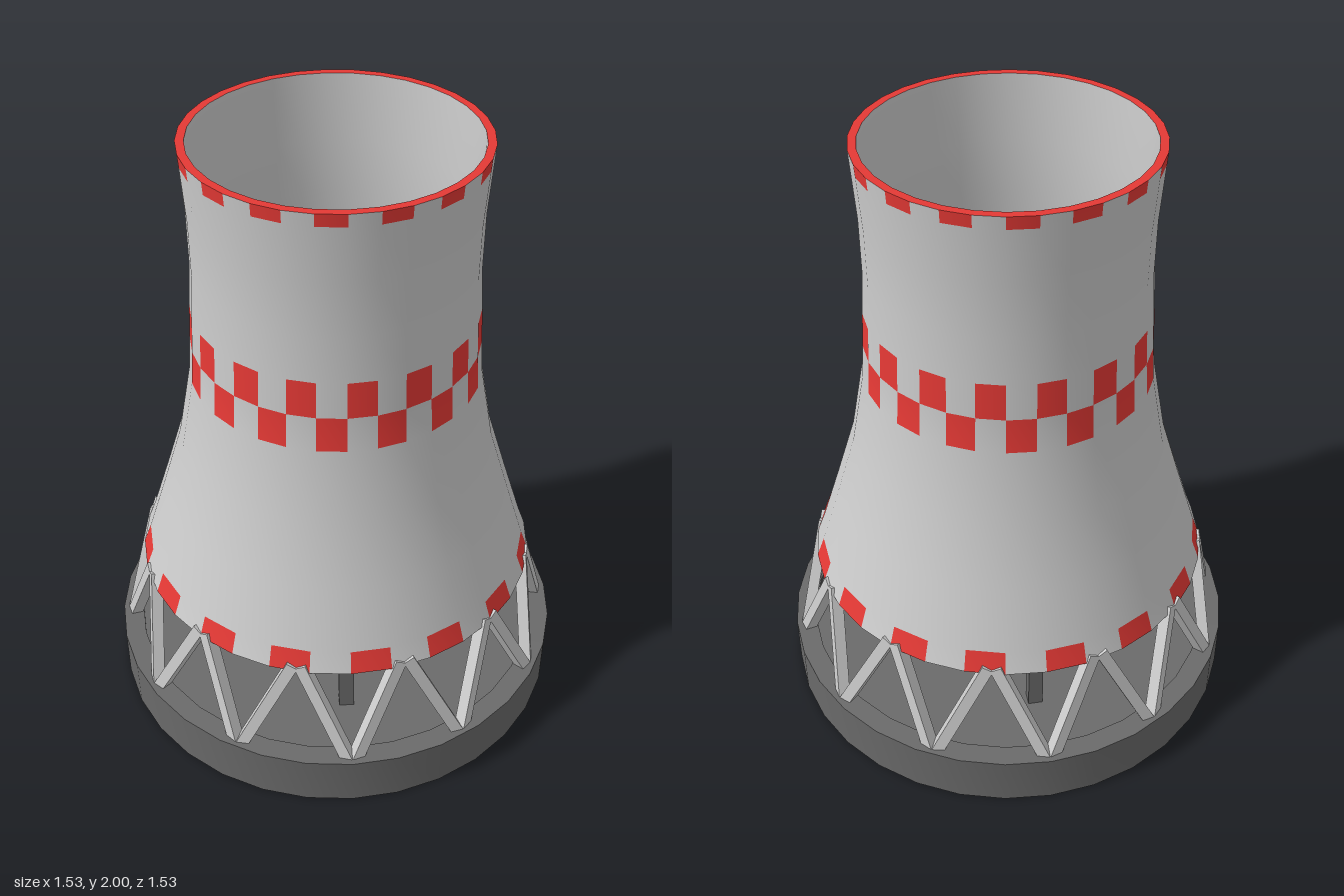
import * as THREE from 'three';
import { toCreasedNormals } from 'three/addons/utils/BufferGeometryUtils.js';

const SEGMENTS = 32;
const grey = new THREE.MeshStandardMaterial({ color: 0xcccccc });
const red = new THREE.MeshStandardMaterial({ color: 0xe53935 });
const dark = new THREE.MeshStandardMaterial({ color: 0x6a6a6a });

function lathe(profile) {
  return new THREE.LatheGeometry(profile.map(([r, y]) => new THREE.Vector2(r, y)), SEGMENTS);
}

function addMesh(parent, name, geometry, material) {
  const mesh = new THREE.Mesh(geometry, material);
  mesh.name = name;
  parent.add(mesh);
  return mesh;
}

// Bar between two points; 4-sided, optionally turned about its own axis
function addBar(parent, name, from, to, radius, material, turn = 0) {
  const along = new THREE.Vector3().subVectors(to, from);
  const geometry = new THREE.CylinderGeometry(radius, radius, along.length(), 4).rotateY(turn);
  const bar = addMesh(parent, name, toCreasedNormals(geometry, 0.5), material);
  bar.position.copy(from).add(to).multiplyScalar(0.5);
  bar.quaternion.setFromUnitVectors(new THREE.Vector3(0, 1, 0), along.normalize());
  return bar;
}

// Point at an angle from +z towards +x
function polar(angle, r, y) {
  return new THREE.Vector3(r * Math.sin(angle), y, r * Math.cos(angle));
}

// Hyperbolic shell, with painted bands alternating around it
function buildShell() {
  const shell = new THREE.Group();
  shell.name = 'shell';
  const outer = [
    [0.665, 0.49], [0.639, 0.56], [0.575, 0.76], [0.51, 0.97], [0.464, 1.22],
    [0.456, 1.335], [0.45, 1.455], [0.441, 1.6], [0.442, 1.78], [0.454, 1.96], [0.457, 2],
  ];
  // Profile row -> which of each two segments is painted
  const painted = { 0: 0, 4: 1, 5: 0, 9: 1 };
  const rows = outer.length - 1;
  const wall = lathe(outer);
  const index = Array.from(wall.index.array);
  const cells = { plain: [], red: [] };
  for (let i = 0; i < SEGMENTS; i++) {
    for (let j = 0; j < rows; j++) {
      const start = (i * rows + j) * 6;
      const target = painted[j] === i % 2 ? cells.red : cells.plain;
      target.push(...index.slice(start, start + 6));
    }
  }
  const checks = wall.clone();
  wall.setIndex(cells.plain);
  checks.setIndex(cells.red);
  addMesh(shell, 'outerWall', wall, grey);
  addMesh(shell, 'redChecks', checks, red);

  const inner = outer.map(([r, y]) => [r - 0.026, y]).reverse();
  addMesh(shell, 'innerWall', lathe(inner), grey);
  addMesh(shell, 'topRim', lathe([outer[rows], inner[0]]), red);
  addMesh(shell, 'lowerRim', lathe([inner[rows], outer[0]]), grey);
  return shell;
}

// Zigzag ring of slanted legs
function buildLegs() {
  const legs = new THREE.Group();
  legs.name = 'legs';
  const count = 12;
  for (let k = 0; k < count; k++) {
    const angle = (k / count) * Math.PI * 2;
    for (const side of [-1, 1]) {
      const foot = polar(angle + side * (Math.PI / count - 0.018), 0.725, 0.165);
      const head = polar(angle + side * 0.02, 0.646, 0.505);
      addBar(legs, 'leg', foot, head, 0.027, grey, Math.PI / 4 + angle);
    }
  }
  return legs;
}

// Columns carrying an open grid of beams inside the shell
function buildInnerFrame() {
  const frame = new THREE.Group();
  frame.name = 'innerFrame';
  const spots = [-0.34, 0, 0.34];
  const beamY = 0.56;
  for (const a of spots) {
    const reach = Math.sqrt(0.58 ** 2 - a ** 2);
    const v = (x, z) => new THREE.Vector3(x, beamY, z);
    addBar(frame, 'crossBeam', v(-reach, a), v(reach, a), 0.035, dark);
    addBar(frame, 'longBeam', v(a, -reach), v(a, reach), 0.035, dark);
    for (const b of spots) {
      addBar(frame, 'column', new THREE.Vector3(a, 0.14, b), v(a, b), 0.034, dark);
    }
  }
  return frame;
}

export function createModel() {
  const model = new THREE.Group();
  model.name = 'coolingTower';

  // Round basin with a slightly sunken floor
  const basin = lathe([
    [0, 0], [0.765, 0], [0.765, 0.175], [0.695, 0.175], [0.695, 0.16], [0, 0.16],
  ]);
  addMesh(model, 'basin', toCreasedNormals(basin, 0.6), dark);

  model.add(buildLegs(), buildInnerFrame(), buildShell());
  return model;
}
